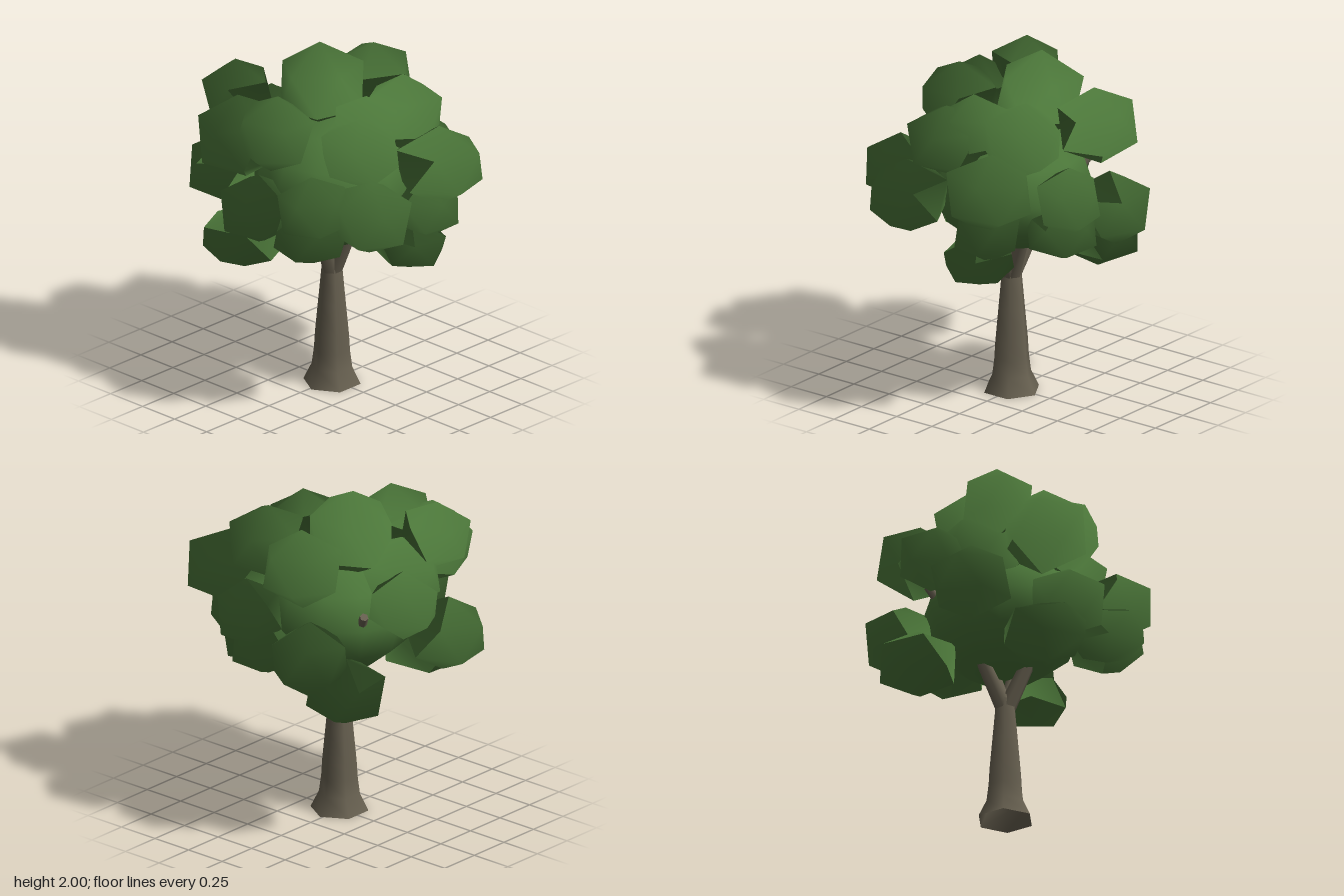
import * as THREE from 'three';

const CENTRE = new THREE.Vector3(0, 1.35, 0);

// Leaf clump: pole-up icosahedron whose normals fan out from the canopy centre
function leafClump(material, x, y, z, w, h, i) {
  const geo = new THREE.IcosahedronGeometry(1, 0);
  geo.rotateX(-Math.atan((1 + Math.sqrt(5)) / 2));
  geo.rotateY(i * 1.7);
  geo.scale(w * 1.15, h, w * 1.15);
  geo.rotateX(0.07 * Math.sin(i * 2.3));
  geo.rotateZ(0.07 * Math.cos(i * 3.1));
  geo.translate(x, y, z);
  const pos = geo.attributes.position;
  const v = new THREE.Vector3();
  for (let k = 0; k < pos.count; k++) {
    v.fromBufferAttribute(pos, k).sub(CENTRE).normalize();
    geo.attributes.normal.setXYZ(k, v.x, v.y, v.z);
  }
  const mesh = new THREE.Mesh(geo, material);
  mesh.name = 'leafClump';
  return mesh;
}

// Tapered limb between two points
function branch(material, from, to, r0, r1) {
  const a = new THREE.Vector3(...from), b = new THREE.Vector3(...to);
  const dir = b.clone().sub(a);
  const mesh = new THREE.Mesh(new THREE.CylinderGeometry(r1, r0, dir.length(), 6), material);
  mesh.position.copy(a).addScaledVector(dir, 0.5);
  mesh.quaternion.setFromUnitVectors(new THREE.Vector3(0, 1, 0), dir.normalize());
  mesh.name = 'branch';
  return mesh;
}

export function createModel() {
  const tree = new THREE.Group();
  tree.name = 'tree';
  const leaf = new THREE.MeshStandardMaterial({ color: 0x4b7639 });
  leaf.name = 'leafGreen';
  const bark = new THREE.MeshStandardMaterial({ color: 0x676050, side: THREE.DoubleSide });
  bark.name = 'barkBrown';

  // Flared six-sided trunk, open at the foot
  const profile = [[0.165, 0], [0.117, 0.1], [0.104, 0.2], [0.098, 0.3], [0.08, 0.49], [0.062, 0.68], [0.05, 0.76]]
    .map(([r, y]) => new THREE.Vector2(r, y));
  const trunk = new THREE.Mesh(new THREE.LatheGeometry(profile, 6), bark);
  trunk.position.set(0.015, 0, 0.01);
  trunk.name = 'trunk';
  tree.add(trunk);

  // Branches spreading into the leaves
  const branches = new THREE.Group();
  branches.name = 'branches';
  const tips = [[0.11, 1.31, 0.49], [-0.39, 1.35, -0.24], [0.35, 1.25, -0.06], [0.11, 1.33, -0.43]];
  for (const tip of tips) {
    const knee = [0.015 + tip[0] * 0.35, 0.95, 0.01 + tip[2] * 0.26];
    branches.add(branch(bark, [0.015, 0.67, 0.01], knee, 0.052, 0.042));
    branches.add(branch(bark, knee, tip, 0.042, 0.025));
  }
  tree.add(branches);

  // Flattened canopy core
  const coreGeo = new THREE.SphereGeometry(1, 12, 6);
  coreGeo.scale(0.46, 0.37, 0.46);
  coreGeo.translate(0.02, 1.25, 0);
  const core = new THREE.Mesh(coreGeo, leaf);
  core.name = 'canopyCore';
  tree.add(core);

  // Clumps: x, y, z, half width, half height
  const clumps = [
    // Crown
    [-0.14, 1.74, -0.07, 0.235, 0.26],
    [-0.14, 1.65, -0.48, 0.215, 0.23],
    [0.29, 1.64, -0.28, 0.215, 0.225],
    [0.30, 1.65, 0.035, 0.175, 0.2],
    [-0.46, 1.71, 0.28, 0.19, 0.2],
    [-0.035, 1.63, 0.42, 0.21, 0.23],
    // Middle
    [-0.26, 1.56, 0.45, 0.24, 0.25],
    [0.39, 1.57, 0.17, 0.22, 0.21],
    [-0.36, 1.5, 0.1, 0.22, 0.23],
    [-0.55, 1.42, -0.09, 0.19, 0.2],
    [0.58, 1.41, -0.27, 0.24, 0.23],
    [0.59, 1.27, 0.29, 0.22, 0.22],
    [0.37, 1.32, 0.52, 0.195, 0.2],
    [0.20, 1.31, -0.54, 0.175, 0.21],
    // Lower skirt
    [-0.61, 1.18, 0.2, 0.22, 0.22],
    [-0.09, 1.18, 0.5, 0.205, 0.21],
    [-0.24, 0.95, 0.45, 0.235, 0.18],
    [-0.23, 1.14, -0.52, 0.21, 0.22],
    [-0.34, 0.92, -0.34, 0.215, 0.2],
    [0.49, 0.95, -0.13, 0.195, 0.15],
    [0.53, 1.15, -0.22, 0.18, 0.18],
    [0.15, 1.1, -0.45, 0.195, 0.17],
    [0.32, 1.14, 0.49, 0.21, 0.17],
  ];
  const canopy = new THREE.Group();
  canopy.name = 'canopy';
  clumps.forEach((c, i) => canopy.add(leafClump(leaf, ...c, i)));
  tree.add(canopy);
  return tree;
}
